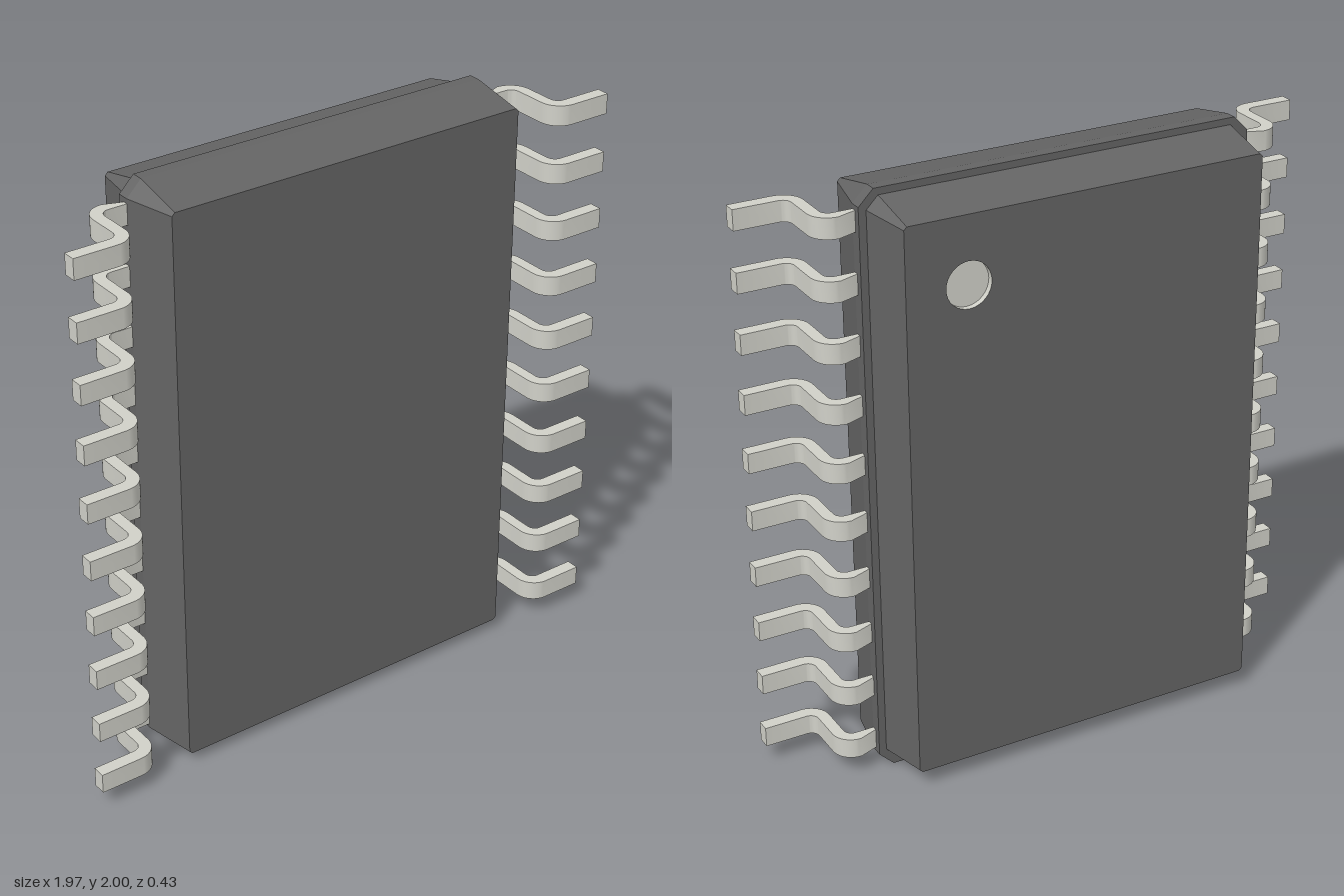
import * as THREE from 'three';
import { toCreasedNormals } from 'three/addons/utils/BufferGeometryUtils.js';

const bodyMat = new THREE.MeshStandardMaterial({ color: 0x646464 });
const metalMat = new THREE.MeshStandardMaterial({ color: 0xd0d0c8 });
const markMat = new THREE.MeshStandardMaterial({ color: 0xd0d0c8, side: THREE.DoubleSide });

// Rectangle with cut corners, counter-clockwise
function outline([hx, hy, c]) {
  return [[hx, -hy + c], [hx, hy - c], [hx - c, hy], [-hx + c, hy],
    [-hx, hy - c], [-hx, -hy + c], [-hx + c, -hy], [hx - c, -hy]]
    .map(([x, y]) => new THREE.Vector2(x, y));
}

// Flat-sided walls through cross-sections [halfWidth, halfHeight, corner, z], back to front
function loft(sections) {
  const pos = [];
  for (let i = 0; i + 1 < sections.length; i++) {
    const a = outline(sections[i]), b = outline(sections[i + 1]);
    const za = sections[i][3], zb = sections[i + 1][3];
    a.forEach((p, k) => {
      const n = (k + 1) % a.length, q = a[n], r = b[n], s = b[k];
      pos.push(p.x, p.y, za, q.x, q.y, za, r.x, r.y, zb);
      pos.push(p.x, p.y, za, r.x, r.y, zb, s.x, s.y, zb);
    });
  }
  const g = new THREE.BufferGeometry();
  g.setAttribute('position', new THREE.Float32BufferAttribute(pos, 3));
  g.computeVertexNormals();
  return g;
}

function addMesh(parent, name, geometry, material) {
  const m = new THREE.Mesh(geometry, material);
  m.name = name;
  parent.add(m);
  return m;
}

// Gull-wing pin profile in x and z, extruded along y
function pinGeometry(side) {
  const s = new THREE.Shape();
  const H = Math.PI / 2;
  s.moveTo(0.63, -0.04);
  s.absarc(0.74, 0.03, 0.07, -H, 0, false);
  s.absarc(0.84, 0.135, 0.03, Math.PI, H, true);
  s.lineTo(0.985, 0.165);
  s.lineTo(0.985, 0.21);
  s.absarc(0.84, 0.14, 0.07, H, Math.PI, false);
  s.absarc(0.74, 0.03, 0.03, 0, -H, true);
  s.lineTo(0.63, 0);
  const pts = s.getPoints(6).map((p) => new THREE.Vector2(p.x * side, p.y));
  const g = new THREE.ExtrudeGeometry(new THREE.Shape(pts), { depth: 0.068, bevelEnabled: false });
  g.translate(0, 0, -0.034);
  g.rotateX(Math.PI / 2);
  return toCreasedNormals(g, 0.6);
}

export function createModel() {
  const model = new THREE.Group();
  model.name = 'chipPackage';

  // Two-part moulded body with a belt around the seam
  const body = new THREE.Group();
  body.name = 'body';
  body.position.y = 1;
  model.add(body);
  const back = [0.618, 0.937, 0.01, -0.215];
  const front = [0.64, 0.962, 0.01, 0.18];
  addMesh(body, 'bodySides', loft([
    back, [0.652, 0.977, 0.04, -0.04], [0.677, 1, 0.05, -0.04], [0.677, 1, 0.05, 0], front,
  ]), bodyMat);
  addMesh(body, 'frontFace', new THREE.ShapeGeometry(new THREE.Shape(outline(front))), bodyMat)
    .position.z = front[3];

  // Back face with the round orientation mark
  const mx = 0.41, my = 0.715, r = 0.076, depth = 0.02;
  const backShape = new THREE.Shape(outline(back));
  const hole = new THREE.Path();
  hole.absarc(-mx, my, r, 0, Math.PI * 2, true);
  backShape.holes.push(hole);
  const backFace = addMesh(body, 'backFace', new THREE.ShapeGeometry(backShape, 16), bodyMat);
  backFace.rotation.y = Math.PI;
  backFace.position.z = back[3];

  const wall = addMesh(body, 'markWall',
    new THREE.CylinderGeometry(r, r, depth, 32, 1, true), markMat);
  wall.rotation.x = Math.PI / 2;
  wall.position.set(mx, my, back[3] + depth / 2);
  const floor = addMesh(body, 'markFloor', new THREE.CircleGeometry(r, 32), markMat);
  floor.rotation.y = Math.PI;
  floor.position.set(mx, my, back[3] + depth);

  // Ten pins on each side
  for (const side of [1, -1]) {
    const row = new THREE.Group();
    row.name = side > 0 ? 'leftPins' : 'rightPins';
    model.add(row);
    const geometry = pinGeometry(side);
    for (let i = 0; i < 10; i++) {
      addMesh(row, 'pin', geometry, metalMat).position.y = 0.1 + i * 0.2;
    }
  }
  return model;
}
